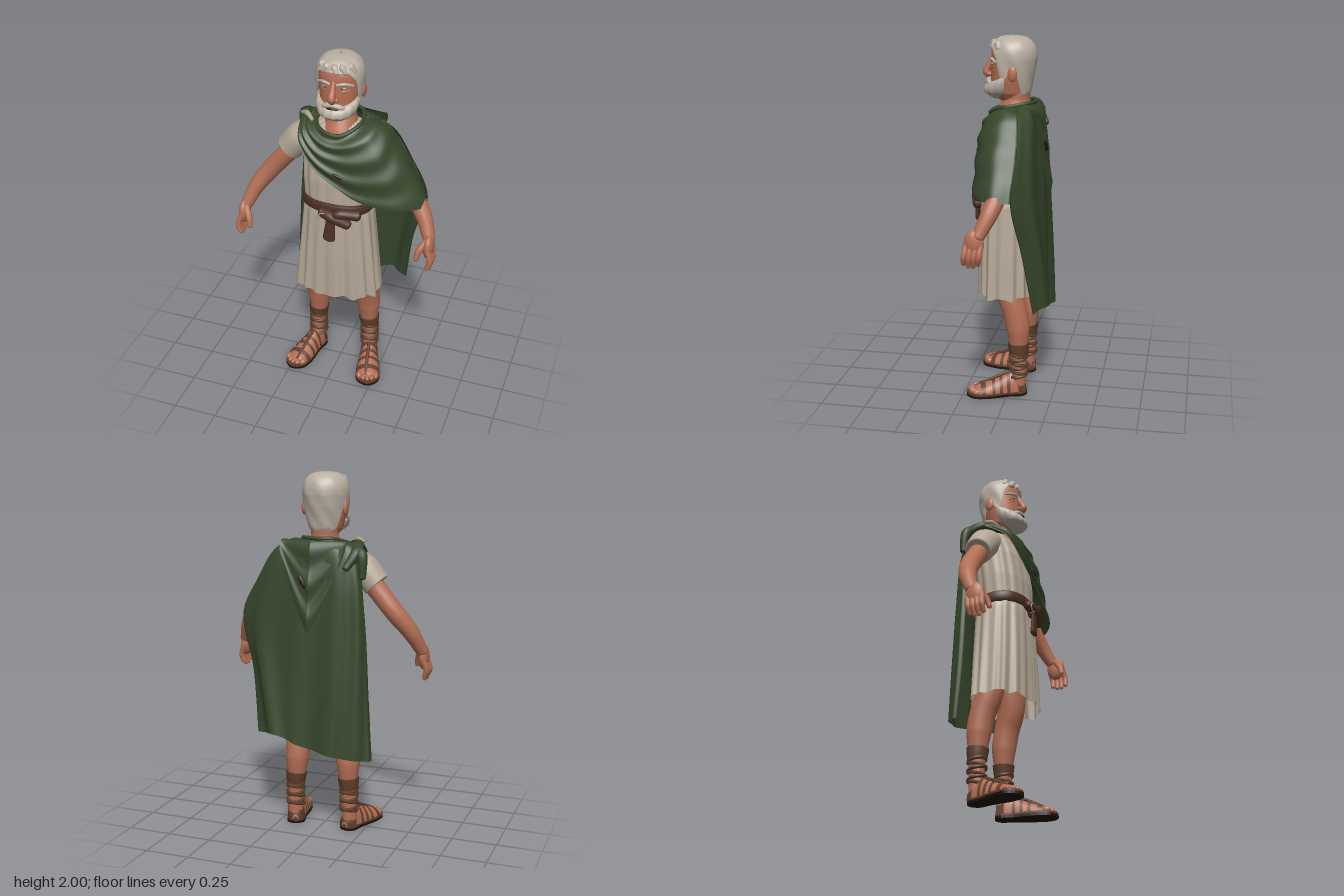
import * as THREE from 'three';
import { ParametricGeometry } from 'three/addons/geometries/ParametricGeometry.js';

const { sin, cos, abs, sqrt, max, min, sign, PI } = Math;
const mat = (name, color) => Object.assign(new THREE.MeshStandardMaterial({ color, side: THREE.DoubleSide }), { name });
const M = {
  skin: mat('skin', 0xb36e54), hair: mat('grey hair', 0xb9afa1), tunic: mat('linen', 0xb3a694),
  cloak: mat('green wool', 0x37472b), belt: mat('belt leather', 0x4c3024), strap: mat('sandal leather', 0x5e3e2c),
  sole: mat('dark sole', 0x1d100c), brass: mat('pale brass', 0xa39a82), eye: mat('eye grey', 0x8f9496), dark: mat('dark opening', 0x2c1512),
};

function add(parent, name, geo, material) {
  const m = new THREE.Mesh(geo, material);
  m.name = name;
  parent.add(m);
  return m;
}
// Surface from a rule f(u, v) returning [x, y, z]
const surface = (f, nu, nv) => new ParametricGeometry((u, v, t) => t.set(...f(u, v)), nu, nv);

// Row of a table [key, ...values], blended linearly by key
function lookup(table, key) {
  let i = 0;
  while (i < table.length - 2 && key > table[i + 1][0]) i++;
  const a = table[i], b = table[i + 1];
  const k = min(1, max(0, (key - a[0]) / (b[0] - a[0])));
  return a.map((n, j) => n + (b[j] - n) * k);
}
// Tapered tube through points [x, y, z, radius] with domed ends
function limb(pts, cap = 0.7, sides = 14, rows = 24) {
  const curve = new THREE.CatmullRomCurve3(pts.map(p => new THREE.Vector3(p[0], p[1], p[2])));
  const d = curve.getPoint(1).sub(curve.getPoint(0));
  const ref = abs(d.z) > max(abs(d.x), abs(d.y)) ? new THREE.Vector3(1, 0, 0) : new THREE.Vector3(0, 0, 1);
  const e = 0.125, table = pts.map((p, i) => [i / (pts.length - 1), p[3]]);
  return surface((u, v) => {
    const t = min(1, max(0, (v - e) / (1 - 2 * e)));
    const q = v < e ? (v - e) / e : v > 1 - e ? (v - 1 + e) / e : 0;
    const r0 = lookup(table, t)[1], r = r0 * max(0.01, cos(q * PI / 2));
    const T = curve.getTangent(t), a = T.clone().cross(ref).normalize(), b = T.clone().cross(a);
    return curve.getPoint(t).addScaledVector(T, r0 * cap * sin(q * PI / 2))
      .addScaledVector(a, r * cos(u * 2 * PI)).addScaledVector(b, r * sin(u * 2 * PI)).toArray();
  }, sides, rows);
}
const ball = (x, y, z, rx, ry, rz) => new THREE.SphereGeometry(1, 20, 14).scale(rx, ry, rz).translate(x, y, z);

// Cloth stretched over neck-to-hem lines; fold(u, v) pushes it outwards
function sheet(lines, nu, nv, fold) {
  const curves = lines.map(l => new THREE.CatmullRomCurve3(l.map(p => new THREE.Vector3(...p)), false, 'catmullrom'));
  return surface((u, v) => {
    const p = new THREE.CatmullRomCurve3(curves.map(c => c.getPoint(v)), false, 'catmullrom').getPoint(u);
    const out = new THREE.Vector3(p.x * 0.5, 0.03, p.z).normalize();
    return p.addScaledVector(out, fold(u, v) * max(0, sin(PI * u)) ** 0.4).toArray();
  }, nu, nv);
}

// Head outline: y, half width, front z, back z
const HEAD = [[1.64, 0.004, 0.004, -0.004], [1.655, 0.06, 0.085, -0.06], [1.7, 0.09, 0.12, -0.08],
  [1.76, 0.103, 0.126, -0.09], [1.82, 0.11, 0.125, -0.103], [1.88, 0.115, 0.122, -0.112]];
function headPoint(a, y, off = 0) {
  const [, rx, zf, zb] = lookup(HEAD, y);
  const crown = max(0, (y - 1.88) / 0.106);
  const k = max(1e-8, 1 - crown ** 2.6) ** 0.42, o = off * min(1, k * 2);
  return [sin(a) * (rx * k + o), y + off * crown, (zf + zb) / 2 + cos(a) * ((zf - zb) / 2 * k + o)];
}

function buildHead() {
  const g = new THREE.Group();
  g.name = 'head';
  add(g, 'face', surface((u, v) => headPoint(u * 2 * PI, 1.97 - 0.33 * (1 - v) ** 1.6), 40, 40), M.skin);
  const neck = [[1.55, 0.125, 0.108, 0], [1.6, 0.092, 0.092, -0.002], [1.66, 0.075, 0.074, -0.015], [1.76, 0.077, 0.075, -0.015]];
  add(g, 'neck', surface((u, v) => {
    const [y, rx, rz, cz] = lookup(neck, 1.55 + 0.21 * v);
    return [rx * sin(u * 2 * PI), y, cz + rz * cos(u * 2 * PI)];
  }, 28, 12), M.skin);
  add(g, 'nose', limb([[0, 1.885, 0.114, 0.013], [0, 1.845, 0.133, 0.016], [0, 1.805, 0.151, 0.021], [0, 1.787, 0.14, 0.018]]), M.skin);

  // Hair with a hairline that dips at the sideburns and nape
  const hairline = [[0, 1.935], [0.7, 1.93], [1.0, 1.89], [1.2, 1.79], [1.5, 1.78], [1.7, 1.83], [2.0, 1.79], [2.3, 1.69], [3.2, 1.67]];
  add(g, 'hair', surface((u, v) => {
    const a = (u * 2 - 1) * PI, low = lookup(hairline, abs(a))[1];
    const y = 1.986 - (1.986 - low) * (1 - v) ** 2;
    return headPoint(a, y, 0.014 + 0.002 * sin(a * 8 + y * 40) * (1 - v));
  }, 72, 36), M.hair);
  // Swept locks along the hairline
  for (let i = -2; i <= 2; i++) {
    const lock = [[-0.2, 1.965, 0.008], [0, 1.956, 0.023], [0.16, 1.934, 0.015]];
    add(g, 'forelock', limb(lock.map(([da, y, r]) => {
      const [x, py, z] = headPoint(i * 0.42 + da * (i < 0 ? -1 : 1), y, 0.005);
      return [x, py, z, r];
    })), M.hair);
  }
  // Beard wrapping the jaw
  add(g, 'beard', surface((u, v) => {
    const s = u * 2 - 1, a = s * 1.45;
    const top = 1.752 + 0.045 * s * s, bottom = 1.654 + 0.055 * s * s;
    const off = (0.009 + 0.036 * max(0, cos(a)) + 0.0015 * sin(a * 18)) * max(0, sin(PI * v)) ** 0.55;
    return headPoint(a, bottom + (top - bottom) * v, off);
  }, 50, 18), M.hair);
  add(g, 'mouth', limb([[-0.03, 1.744, 0.139, 0.005], [0, 1.747, 0.146, 0.005], [0.03, 1.744, 0.139, 0.005]]), M.dark);

  for (const s of [-1, 1]) {
    add(g, 'moustache', limb([[s * 0.004, 1.764, 0.137, 0.013], [s * 0.04, 1.756, 0.13, 0.014], [s * 0.077, 1.728, 0.102, 0.01]]), M.hair);
    add(g, 'nostril', ball(s * 0.019, 1.793, 0.13, 0.013, 0.012, 0.016), M.skin);
    add(g, 'eyebrow', limb([[s * 0.02, 1.874, 0.122, 0.007], [s * 0.055, 1.88, 0.112, 0.009], [s * 0.095, 1.866, 0.083, 0.006]]), M.hair);
    add(g, 'eye', ball(s * 0.046, 1.854, 0.104, 0.021, 0.008, 0.0135), M.eye);
    add(g, 'iris', ball(s * 0.045, 1.854, 0.112, 0.006, 0.006, 0.006), M.dark);
    add(g, 'eyeBag', limb([[s * 0.022, 1.838, 0.112, 0.006], [s * 0.048, 1.834, 0.106, 0.009], [s * 0.075, 1.84, 0.09, 0.006]]), M.skin);
    add(g, 'ear', ball(s * 0.12, 1.807, -0.012, 0.014, 0.042, 0.026), M.skin);
  }
  return g;
}

function buildArm(s) {
  const g = new THREE.Group();
  g.name = s > 0 ? 'leftArm' : 'rightArm';
  add(g, 'arm', limb([[s * 0.18, 1.52, -0.015, 0.06], [s * 0.28, 1.395, 0, 0.055], [s * 0.4, 1.25, 0.005, 0.053],
    [s * 0.482, 1.14, 0.04, 0.046], [s * 0.532, 1.03, 0.09, 0.034]], 0.7, 18, 32), M.skin);
  add(g, 'palm', ball(s * 0.537, 0.995, 0.112, 0.03, 0.07, 0.053), M.skin);
  for (let i = 0; i < 4; i++) {
    const z = 0.073 + 0.026 * i, drop = i === 0 || i === 3 ? 0.012 : 0;
    add(g, 'finger', limb([[s * 0.54, 0.99, z, 0.016], [s * 0.559, 0.925, z + 0.01, 0.016], [s * 0.545, 0.87 + drop, z + 0.016, 0.012]], 0.7, 10, 16), M.skin);
  }
  add(g, 'thumb', limb([[s * 0.525, 1.03, 0.12, 0.022], [s * 0.493, 0.98, 0.155, 0.018], [s * 0.483, 0.935, 0.17, 0.013]], 0.7, 10, 16), M.skin);
  return g;
}

// Foot sections: z, half width, height
const FOOT = [[-0.055, 0.012, 0.02], [-0.045, 0.034, 0.06], [0, 0.046, 0.12], [0.05, 0.05, 0.105], [0.1, 0.058, 0.08],
  [0.17, 0.066, 0.055], [0.22, 0.062, 0.038], [0.25, 0.045, 0.022]];
const footPatch = (z0, z1, off, n) => surface((u, v) => {
  const [z, w, h] = lookup(FOOT, z0 + (z1 - z0) * v), a = PI * u;
  return [(w + off) * cos(a), 0.02 + (h + off) * sin(a), z];
}, 20, n);

function buildLeg(s) {
  const g = new THREE.Group();
  g.name = s > 0 ? 'leftLeg' : 'rightLeg';
  add(g, 'leg', limb([[s * 0.125, 0.78, 0.01, 0.085], [s * 0.14, 0.6, 0, 0.075], [s * 0.15, 0.5, -0.03, 0.07], [s * 0.154, 0.4, -0.05, 0.068],
    [s * 0.157, 0.3, -0.055, 0.053], [s * 0.162, 0.2, -0.057, 0.043], [s * 0.165, 0.06, -0.055, 0.043]], 0.2, 20, 32), M.skin);
  // Laced ankle wrap
  add(g, 'ankleCuff', limb([[s * 0.158, 0.3, -0.055, 0.061], [s * 0.16, 0.27, -0.056, 0.057], [s * 0.161, 0.235, -0.057, 0.051]], 0.1), M.strap);
  for (const dir of [-1, 1]) {
    const pts = [];
    for (let i = 0; i <= 40; i++) {
      const t = i / 40, a = dir * t * 6 * PI;
      pts.push(new THREE.Vector3(s * 0.162 + 0.046 * sin(a), 0.25 - 0.15 * t, -0.056 + 0.046 * cos(a)));
    }
    add(g, 'lacing', new THREE.TubeGeometry(new THREE.CatmullRomCurve3(pts), 110, 0.01, 6), M.strap);
  }
  const foot = new THREE.Group();
  foot.name = 'sandalledFoot';
  foot.position.set(s * 0.165, 0, -0.045);
  foot.rotation.y = s * 0.27;
  g.add(foot);
  add(foot, 'foot', footPatch(-0.055, 0.25, 0, 30), M.skin);
  for (let i = -2; i <= 2; i++) {
    const r = i * s === -2 ? 0.02 : 0.015;
    add(foot, 'toe', ball(i * 0.025, 0.033, 0.249 - 0.006 * i * i, r * 0.9, r, 0.025), M.skin);
  }
  for (const [z0, z1] of [[-0.054, -0.005], [0.04, 0.058], [0.082, 0.1], [0.125, 0.143], [0.178, 0.205]])
    add(foot, 'footStrap', footPatch(z0, z1, 0.006, 5), M.strap);
  add(foot, 'toeThong', limb([[-s * 0.012, 0.045, 0.235, 0.008], [-s * 0.006, 0.092, 0.14, 0.009], [0, 0.13, 0.05, 0.01]], 0.5, 8), M.strap);
  // Layered sole
  const outline = [[0, -0.06], [0.046, -0.035], [0.052, 0.05], [0.071, 0.17], [0.06, 0.248], [0, 0.284], [-0.06, 0.248], [-0.071, 0.17], [-0.052, 0.05], [-0.046, -0.035]];
  const curve = new THREE.CatmullRomCurve3(outline.map(p => new THREE.Vector3(p[0], p[1], 0)), true);
  const shape = new THREE.Shape(curve.getPoints(40).slice(0, 40).map(p => new THREE.Vector2(p.x, p.y)));
  for (const [name, top, depth, material] of [['sole', 0.014, 0.014, M.sole], ['insole', 0.024, 0.01, M.strap]])
    add(foot, name, new THREE.ExtrudeGeometry(shape, { depth, bevelEnabled: false }).rotateX(PI / 2).translate(0, top, 0), material);
  return g;
}

function buildTunic() {
  const g = new THREE.Group();
  g.name = 'tunic';
  // y, half width, half depth, centre z
  const rows = [[0.58, 0.245, 0.158, 0.032], [0.85, 0.22, 0.154, 0.032], [1.1, 0.196, 0.146, 0.03], [1.15, 0.183, 0.135, 0.035],
    [1.2, 0.187, 0.135, 0.035], [1.3, 0.195, 0.14, 0.028], [1.45, 0.2, 0.136, 0.01], [1.55, 0.185, 0.106, 0], [1.6, 0.14, 0.08, -0.01], [1.63, 0.06, 0.05, -0.01]];
  const boxy = n => sign(n) * abs(n) ** 0.86;
  add(g, 'tunicBody', surface((u, v) => {
    const a = u * 2 * PI, [y, rx, rz, cz] = lookup(rows, 0.58 + 1.05 * v);
    const pleat = (sin(a * 17) + 0.7 * sin(a * 11 + 1)) * (y < 1.12 ? 0.003 + 0.009 * (1.12 - y) : 0.0025);
    return [(rx + pleat) * boxy(sin(a)), y + 0.008 * sin(a * 9) * (1 - v) ** 8, cz + (rz + pleat) * boxy(cos(a))];
  }, 130, 50), M.tunic);
  add(g, 'sleeve', limb([[-0.14, 1.53, 0, 0.075], [-0.22, 1.48, 0.005, 0.086], [-0.294, 1.4, 0.005, 0.077]], 0.05, 24), M.tunic);

  // Belt, knot and hanging end
  add(g, 'belt', surface((u, v) => {
    const a = u * 2 * PI, b = 0.013 * max(0, sin(PI * v)) ** 0.4;
    return [(0.187 + b) * boxy(sin(a)), 1.12 + 0.065 * v + 0.01 * sin(a + 2), 0.034 + (0.142 + b) * boxy(cos(a))];
  }, 60, 8), M.belt);
  add(g, 'beltKnot', limb([[-0.045, 1.14, 0.19, 0.026], [0.02, 1.125, 0.2, 0.034], [0.1, 1.085, 0.185, 0.028]]), M.belt);
  add(g, 'beltLoop', limb([[0, 1.1, 0.19, 0.024], [0.05, 1.15, 0.202, 0.026], [0.15, 1.14, 0.165, 0.03]]), M.belt);
  add(g, 'hangingEnd', limb([[0.012, 1.13, 0.2, 0.022], [0.006, 1.05, 0.205, 0.03], [0, 0.985, 0.205, 0.035]], 0.5)
    .translate(0, 0, -0.205).scale(1, 1, 0.4).translate(0, 0, 0.205), M.belt);
  add(g, 'buckle', new THREE.TorusGeometry(0.024, 0.004, 8, 24).translate(-0.03, 1.125, 0.216), M.brass);
  return g;
}

function buildCloak() {
  const g = new THREE.Group();
  g.name = 'cloak';
  const front = [
    [[-0.13, 1.62, 0], [-0.16, 1.635, 0], [-0.19, 1.635, 0], [-0.21, 1.625, 0], [-0.23, 1.605, 0]],
    [[-0.11, 1.605, 0.07], [-0.14, 1.6, 0.1], [-0.165, 1.58, 0.12], [-0.185, 1.555, 0.13], [-0.195, 1.52, 0.135]],
    [[-0.05, 1.59, 0.12], [-0.065, 1.55, 0.153], [-0.08, 1.5, 0.17], [-0.09, 1.45, 0.18], [-0.1, 1.4, 0.18]],
    [[0.03, 1.585, 0.125], [0.03, 1.53, 0.162], [0.03, 1.46, 0.178], [0.03, 1.38, 0.19], [0.035, 1.31, 0.188]],
    [[0.09, 1.61, 0.09], [0.13, 1.55, 0.145], [0.15, 1.45, 0.17], [0.16, 1.34, 0.182], [0.17, 1.24, 0.185]],
    [[0.12, 1.63, 0.045], [0.2, 1.585, 0.1], [0.265, 1.47, 0.125], [0.32, 1.34, 0.14], [0.36, 1.205, 0.15]],
    [[0.125, 1.635, 0.01], [0.225, 1.62, 0.02], [0.3, 1.53, 0.035], [0.397, 1.38, 0.045], [0.488, 1.195, 0.045]],
    [[0.12, 1.635, -0.03], [0.235, 1.61, -0.06], [0.31, 1.51, -0.076], [0.395, 1.365, -0.078], [0.475, 1.195, -0.065]]];
  add(g, 'shoulderDrape', sheet(front, 60, 50, (u, v) => 0.008 * sin(v * 24 + u * 5) * (1 - 0.5 * u)), M.cloak);
  const back = [
    [[0.12, 1.635, -0.03], [0.265, 1.585, -0.067], [0.37, 1.42, -0.078], [0.475, 1.195, -0.065], [0.395, 0.9, -0.11], [0.345, 0.55, -0.165]],
    [[0.09, 1.65, -0.09], [0.21, 1.57, -0.122], [0.29, 1.4, -0.14], [0.33, 1.15, -0.158], [0.28, 0.85, -0.2], [0.22, 0.56, -0.228]],
    [[0, 1.65, -0.12], [0.06, 1.56, -0.155], [0.07, 1.38, -0.172], [0.08, 1.13, -0.186], [0.07, 0.8, -0.196], [0.06, 0.5, -0.206]],
    [[-0.07, 1.65, -0.1], [-0.12, 1.58, -0.14], [-0.14, 1.4, -0.165], [-0.15, 1.13, -0.18], [-0.15, 0.78, -0.2], [-0.14, 0.46, -0.215]],
    [[-0.11, 1.635, -0.05], [-0.19, 1.6, -0.09], [-0.24, 1.4, -0.125], [-0.26, 1.1, -0.135], [-0.27, 0.75, -0.145], [-0.28, 0.44, -0.155]],
    [[-0.13, 1.62, 0], [-0.21, 1.615, -0.03], [-0.24, 1.4, -0.08], [-0.265, 1.1, -0.08], [-0.285, 0.75, -0.085], [-0.31, 0.43, -0.1]]];
  add(g, 'backCape', sheet(back, 80, 40, (u, v) => (0.003 + 0.007 * v) * sin(u * 34 + v * 2) * min(1, v * 3)), M.cloak);

  // Rolled neckline
  const roll = [...front.slice(0, 7), ...back.slice(1, 5)].map(l => new THREE.Vector3(...l[0]));
  add(g, 'collar', new THREE.TubeGeometry(new THREE.CatmullRomCurve3(roll, true), 70, 0.011, 10, true), M.cloak);
  // Hood hanging in nested swags to a point, with a dark gap
  add(g, 'hood', surface((u, v) => {
    const s = u * 2 - 1, k = abs(s), w = sqrt(v);
    const z = 0.1 + 0.038 * (1 - k) + 0.08 * w * (1 - 0.4 * k) + 0.007 * sin(v * 17) * (1 - k);
    return [0.025 + s * 0.19, 1.64 - 0.5 * v * (1 - 0.9 * k ** 1.3), -z];
  }, 48, 40), M.cloak);
  add(g, 'hoodGap', ball(0, 0, 0, 0.014, 0.042, 0.012).rotateZ(-0.5).translate(0.065, 1.42, -0.186), M.dark);
  add(g, 'drapeGap', ball(0, 0, 0, 0.032, 0.009, 0.008).rotateZ(-0.4).translate(0.045, 1.38, 0.192), M.dark);
  // Bunched cloth and clasp on the right shoulder
  add(g, 'shoulderBunch', limb([[-0.15, 1.61, 0.05, 0.018], [-0.2, 1.615, -0.02, 0.026], [-0.21, 1.58, -0.09, 0.032], [-0.17, 1.5, -0.15, 0.02]]), M.cloak);
  add(g, 'shoulderKnot', limb([[-0.18, 1.61, -0.05, 0.02], [-0.24, 1.57, -0.095, 0.03], [-0.25, 1.45, -0.11, 0.02]]), M.cloak);
  add(g, 'clasp', limb([[-0.215, 1.628, 0.01, 0.01], [-0.18, 1.638, 0.03, 0.016], [-0.14, 1.62, 0.06, 0.01]]), M.brass);
  return g;
}

export function createModel() {
  const model = new THREE.Group();
  model.name = 'cloakedElder';
  model.add(buildHead(), buildTunic(), buildCloak());
  for (const s of [-1, 1]) model.add(buildArm(s), buildLeg(s));
  return model;
}
